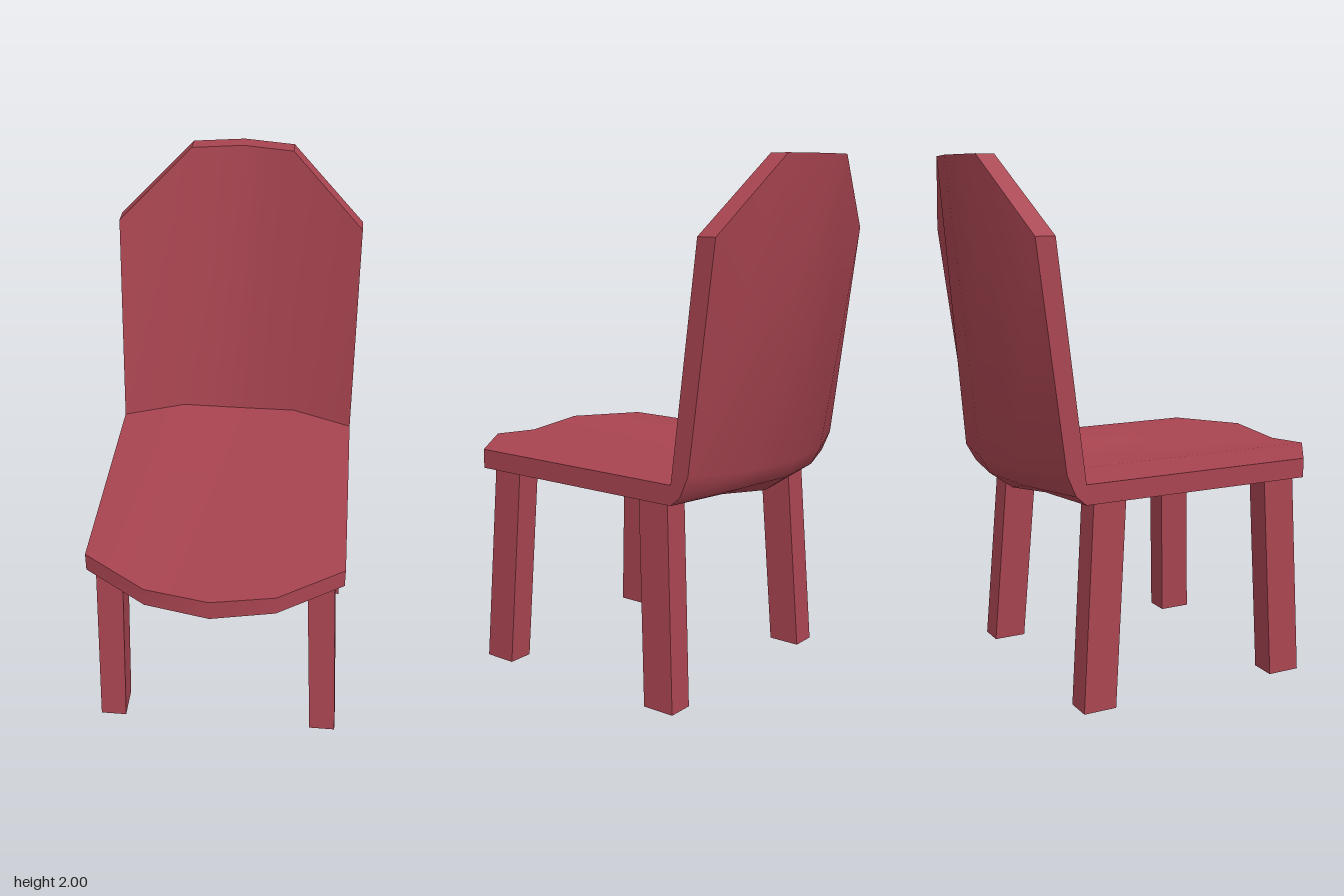
import * as THREE from 'three';
import { toCreasedNormals } from 'three/addons/utils/BufferGeometryUtils.js';

const red = new THREE.MeshStandardMaterial({ color: 0xa84450 });
red.name = 'dull red';

// Side profiles [z, y] at the edge, quarter and centre of the shell, in order:
// seat front top, inner corner, back top front, back top rear,
// three points round the rear bend, seat front bottom
const edge = [[0.53, 0.86], [-0.4, 0.86], [-0.51, 1.725], [-0.585, 1.725],
  [-0.475, 0.9], [-0.44, 0.82], [-0.4, 0.785], [0.53, 0.785]];
const quarter = [[0.7, 0.86], [-0.5, 0.86], [-0.61, 2], [-0.68, 2],
  [-0.575, 0.89], [-0.535, 0.82], [-0.45, 0.785], [0.7, 0.785]];
const centre = [[0.72, 0.835], [-0.535, 0.835], [-0.65, 2], [-0.72, 2],
  [-0.61, 0.89], [-0.57, 0.82], [-0.48, 0.755], [0.72, 0.755]];

// Seat and back in one bent, dished shell
function shellGeometry() {
  const columns = [[-0.485, edge], [-0.24, quarter], [0, centre], [0.24, quarter], [0.485, edge]];
  const positions = [];
  const index = [];
  for (const [x, profile] of columns) {
    profile.forEach(([z, y], j) => {
      // the quarter columns lean inwards at the top of the back
      const px = profile === quarter && (j === 2 || j === 3) ? Math.sign(x) * 0.2 : x;
      positions.push(px, y, z);
    });
  }
  const n = edge.length;
  for (let i = 0; i < columns.length - 1; i++) {
    for (let j = 0; j < n; j++) {
      const a = i * n + j, b = i * n + (j + 1) % n;
      const c = b + n, d = a + n;
      index.push(a, d, c, a, c, b);
    }
  }
  // L-shaped side caps
  const last = (columns.length - 1) * n;
  for (const [a, b, c] of [[0, 1, 6], [0, 6, 7], [1, 5, 6], [1, 4, 5], [1, 2, 3], [1, 3, 4]]) {
    index.push(a, b, c, last + a, last + c, last + b);
  }
  const geometry = new THREE.BufferGeometry();
  geometry.setAttribute('position', new THREE.Float32BufferAttribute(positions, 3));
  geometry.setIndex(index);
  return toCreasedNormals(geometry, 0.7);
}

// Square leg sheared from its foot centre to its top centre
function legGeometry(topX, topZ, footX, footZ) {
  const height = 0.79;
  const geometry = new THREE.BoxGeometry(0.102, height, 0.13);
  geometry.translate(0, height / 2, 0);
  const p = geometry.attributes.position;
  for (let i = 0; i < p.count; i++) {
    const t = p.getY(i) / height;
    p.setX(i, p.getX(i) + THREE.MathUtils.lerp(footX, topX, t));
    p.setZ(i, p.getZ(i) + THREE.MathUtils.lerp(footZ, topZ, t));
  }
  return toCreasedNormals(geometry, 0.5);
}

export function createModel() {
  const group = new THREE.Group();
  group.name = 'chair';
  const add = (name, geometry) => {
    const mesh = new THREE.Mesh(geometry, red);
    mesh.name = name;
    group.add(mesh);
  };

  add('seatAndBack', shellGeometry());

  // Splayed legs
  for (const [side, topX, footX] of [['Left', 0.397, 0.435], ['Right', -0.404, -0.423]]) {
    add('front' + side + 'Leg', legGeometry(topX, 0.435, footX, 0.468));
    add('rear' + side + 'Leg', legGeometry(topX, -0.292, footX, -0.344));
  }
  return group;
}
